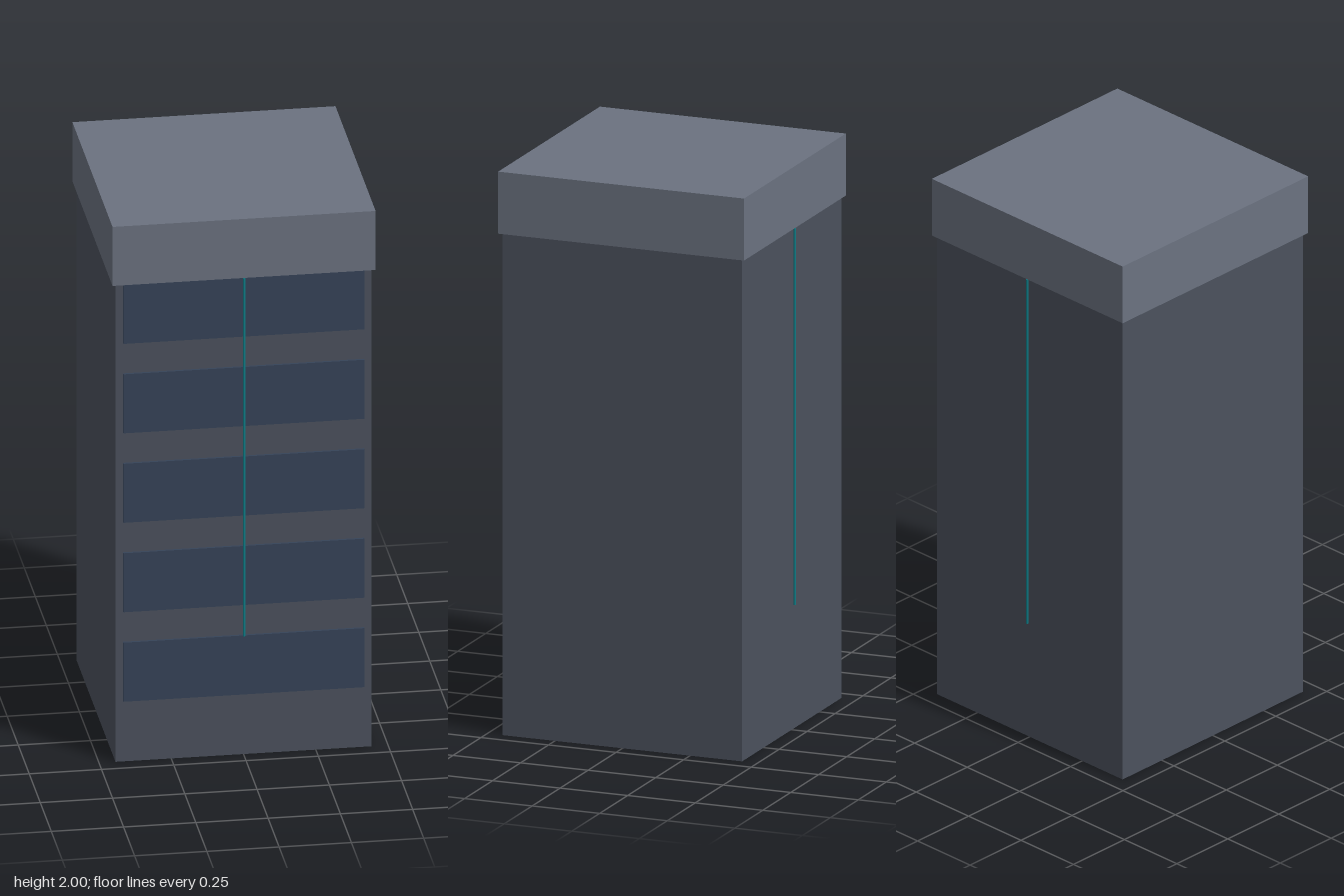
import * as THREE from 'three';

const paint = (color) => new THREE.MeshStandardMaterial({ color });

export function createModel() {
  const model = new THREE.Group();
  const add = (name, geometry, material, x, y, z) => {
    const mesh = new THREE.Mesh(geometry, material);
    mesh.name = name;
    mesh.position.set(x, y, z);
    model.add(mesh);
  };

  // Tower body and overhanging roof slab
  add('body', new THREE.BoxGeometry(0.886, 1.78, 0.886), paint(0x4b515d), 0, 0.89, 0);
  add('roofSlab', new THREE.BoxGeometry(0.91, 0.22, 0.91), paint(0x6b7280), 0, 1.89, 0);

  // Five raised bands on the front
  const bandGeometry = new THREE.BoxGeometry(0.834, 0.22, 0.02);
  const bandMaterial = paint(0x364358);
  for (let i = 0; i < 5; i++) {
    add('frontBand' + (i + 1), bandGeometry, bandMaterial, 0, 0.336 + i * 0.3335, 0.442);
  }

  // Thin vertical lines standing just off the front and back walls
  const lineGeometry = new THREE.CylinderGeometry(0.0045, 0.0045, 1.335, 8);
  const lineMaterial = paint(0x0e7c86);
  add('frontLine', lineGeometry, lineMaterial, 0, 1.1125, 0.4545);
  add('backLine', lineGeometry, lineMaterial, 0, 1.1125, -0.4545);

  return model;
}
